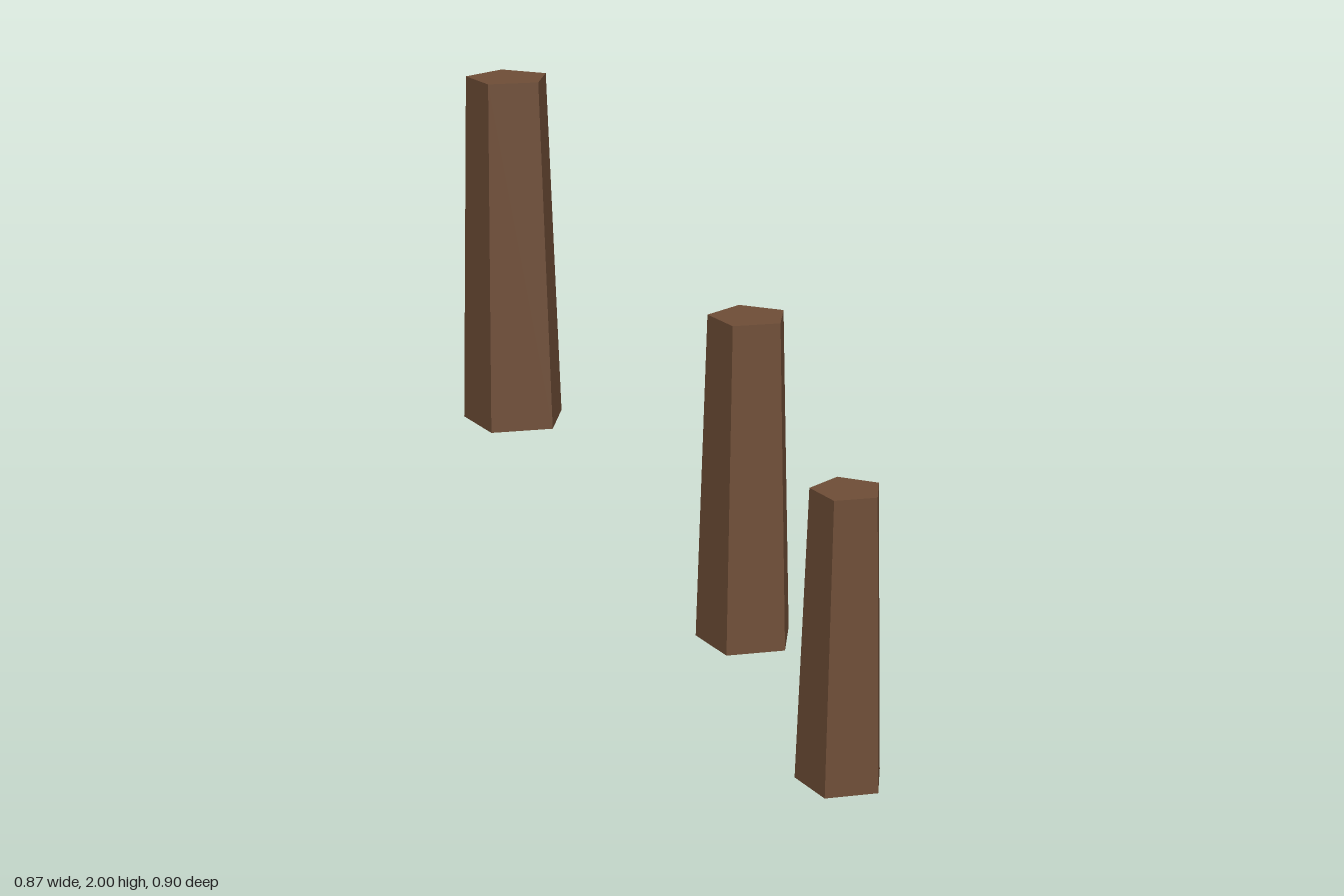
import * as THREE from 'three';

export function createModel() {
  const group = new THREE.Group();
  const wood = new THREE.MeshStandardMaterial({ color: 0x6f4e37, flatShading: true, side: THREE.DoubleSide });
  wood.name = 'brown wood';

  // Tapered five-sided post: closed on top, hollow and open underneath
  const height = 0.842;
  const profile = [[0.1275, 0], [0.1, height], [0, height]].map(([r, y]) => new THREE.Vector2(r, y));
  const postGeometry = new THREE.LatheGeometry(profile, 5);

  // Three posts rising in steps
  const posts = [
    ['lowerPost', 0.312, 0, -0.349],
    ['middlePost', 0.212, 0.579, 0.1035],
    ['upperPost', -0.314, 1.158, 0.3225],
  ];
  for (const [name, x, y, z] of posts) {
    const post = new THREE.Mesh(postGeometry, wood);
    post.name = name;
    post.position.set(x, y, z);
    group.add(post);
  }
  return group;
}
